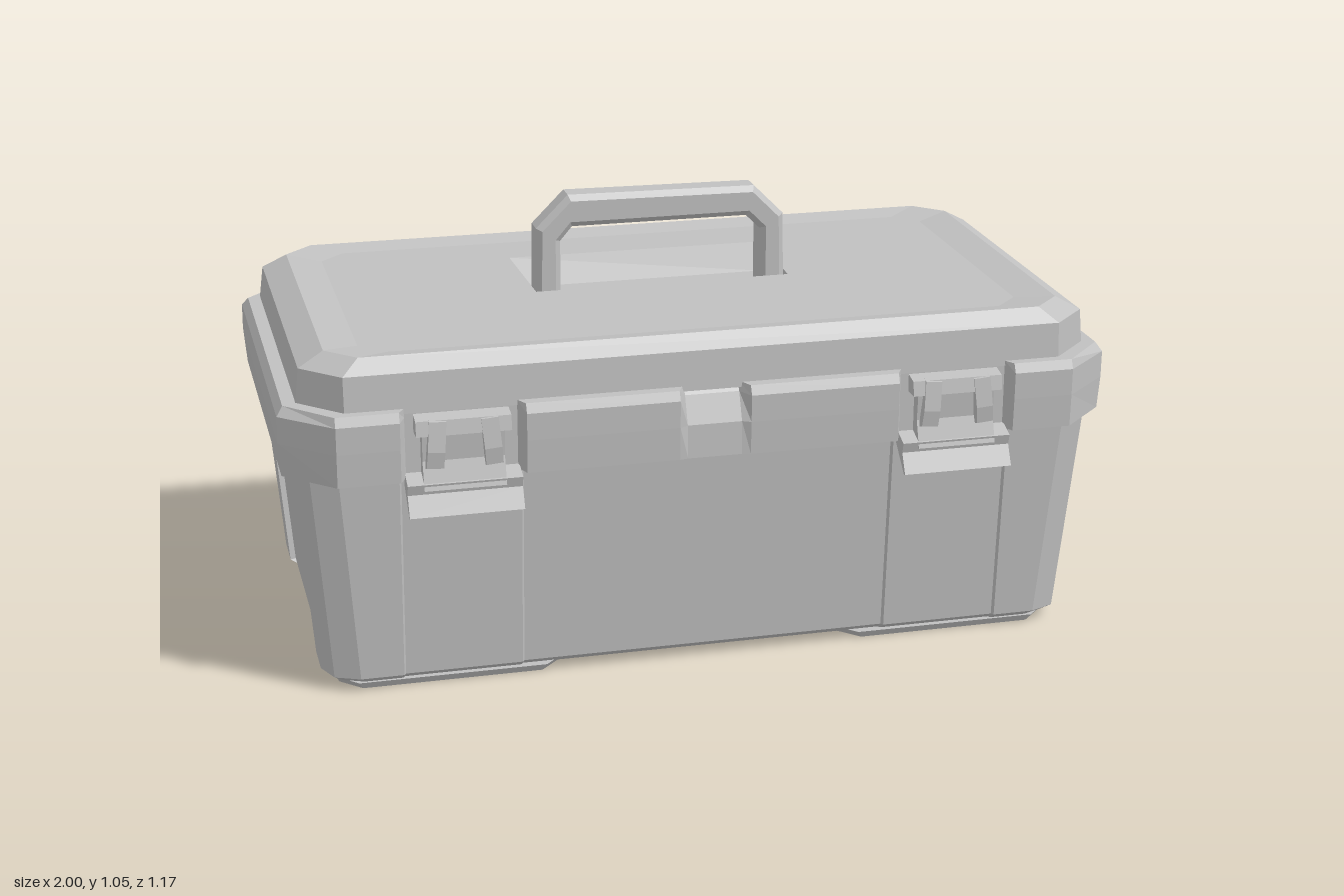
import * as THREE from 'three';

const grey = new THREE.MeshStandardMaterial({ color: 0xc0c0c0 });
grey.name = 'grey plastic';

function add(group, name, geometry) {
  const mesh = new THREE.Mesh(geometry, grey);
  mesh.name = name;
  group.add(mesh);
  return mesh;
}

// Closed outline from its +x half, listed from the back to the front
const mirrorRing = (half) => [...half, ...half.slice().reverse().map(([x, z]) => [-x, z])];

// Rectangle with cut corners
const cutRect = (hx, zb, zf, c) => mirrorRing([[hx - c, zb], [hx, zb + c], [hx, zf - c], [hx - c, zf]]);

// Faceted skin through levels of { y, ring }, with optional caps and a hole in the top cap
function loft(levels, { bottom = true, top = true, hole = [] } = {}) {
  const pos = [];
  const tri = (...points) => points.forEach((p) => pos.push(...p));
  for (let l = 0; l + 1 < levels.length; l++) {
    const lo = levels[l], hi = levels[l + 1], n = lo.ring.length;
    for (let i = 0; i < n; i++) {
      const j = (i + 1) % n;
      const at = (level, k) => [level.ring[k][0], level.y, level.ring[k][1]];
      tri(at(lo, i), at(hi, i), at(hi, j));
      tri(at(lo, i), at(hi, j), at(lo, j));
    }
  }
  const cap = (level, up, holeRing) => {
    const outer = level.ring.map((p) => new THREE.Vector2(...p));
    const inner = holeRing.map((p) => new THREE.Vector2(...p));
    const all = [...outer, ...inner];
    for (const face of THREE.ShapeUtils.triangulateShape(outer, inner.length ? [inner] : [])) {
      const [p, q, r] = face.map((k) => all[k]);
      const facesUp = (q.y - p.y) * (r.x - p.x) - (q.x - p.x) * (r.y - p.y) > 0;
      const order = facesUp === up ? [p, q, r] : [p, r, q];
      tri(...order.map((v) => [v.x, level.y, v.y]));
    }
  };
  if (bottom) cap(levels[0], false, []);
  if (top) cap(levels[levels.length - 1], true, hole);
  const geometry = new THREE.BufferGeometry();
  geometry.setAttribute('position', new THREE.Float32BufferAttribute(pos, 3));
  geometry.computeVertexNormals();
  return geometry;
}

// Side profile of (z, y) points pulled along x
function extrudeX(profile, x0, x1) {
  const shape = new THREE.Shape(profile.map((p) => new THREE.Vector2(...p)));
  const geometry = new THREE.ExtrudeGeometry(shape, { depth: x1 - x0, bevelEnabled: false });
  return geometry.rotateY(-Math.PI / 2).translate(x1, 0, 0);
}

// Tub outline: proud corner posts, sunken panels and two grooves in the back
function bodyRing(hx, zb, zf, c, groove) {
  const d = 0.014;
  return mirrorRing([
    [0.33, zb], [0.35, zb + groove], [0.43, zb + groove], [0.45, zb],
    [0.73, zb], [0.74, zb - 0.006],
    [hx - c, zb], [hx - c * 0.3, zb + c * 0.3], [hx, zb + c],
    [hx, -0.27], [hx - d, -0.275], [hx - d, 0.3], [hx, 0.31],
    [hx, zf - c], [hx - c * 0.3, zf - c * 0.3], [hx - c, zf],
    [0.735, zf], [0.73, zf - 0.007], [0.45, zf - 0.007], [0.445, zf - d],
  ]);
}

// Rim outline: cut-outs for the latches and a middle notch
function lipRing(hx, zb, zf, notch) {
  return mirrorRing([
    [0.88, zb], [hx, zb + 0.11], [hx, zf - 0.11], [0.88, zf],
    [0.735, zf], [0.72, 0.525], [0.46, 0.525], [0.445, zf + 0.004],
    [0.085, zf + 0.004], [0.065, notch],
  ]);
}

function createLatch() {
  const latch = new THREE.Group();
  const hook = [[0.515, 0.56], [0.57, 0.58], [0.575, 0.62], [0.565, 0.69], [0.515, 0.7]];
  for (const s of [-1, 1]) {
    const arm = add(latch, 'latchArm', extrudeX(hook, -0.02, 0.02));
    arm.position.x = s * 0.115;
    arm.rotation.z = s * 0.08;
  }
  add(latch, 'latchTop', extrudeX([[0.515, 0.655], [0.567, 0.655], [0.56, 0.69], [0.515, 0.7]], -0.11, 0.11));
  add(latch, 'latchPlate', extrudeX([[0.515, 0.52], [0.572, 0.525], [0.55, 0.59], [0.555, 0.655], [0.515, 0.655]], -0.095, 0.095));
  add(latch, 'latchFlap', extrudeX([[0.515, 0.525], [0.58, 0.465], [0.588, 0.468], [0.563, 0.515], [0.57, 0.54], [0.515, 0.56]], -0.133, 0.133));
  return latch;
}

function createHandle() {
  const shape = new THREE.Shape([
    [-0.32, 0.745], [-0.255, 0.745], [-0.255, 0.935], [-0.225, 0.97], [0.215, 0.97], [0.25, 0.935],
    [0.25, 0.745], [0.315, 0.745], [0.31, 0.97], [0.235, 1.045], [-0.235, 1.05], [-0.315, 0.97],
  ].map((p) => new THREE.Vector2(...p)));
  const bevel = 0.014;
  return new THREE.ExtrudeGeometry(shape, {
    depth: 0.08 - 2 * bevel, bevelSize: bevel, bevelThickness: bevel, bevelOffset: -bevel, bevelSegments: 1,
  }).translate(0, 0, -0.04 + bevel);
}

export function createModel() {
  const box = new THREE.Group();
  box.name = 'toolbox';

  // Tapered tub standing on two shallow feet
  add(box, 'body', loft([
    { y: 0.016, ring: bodyRing(0.895, -0.435, 0.465, 0.07, 0.035) },
    { y: 0.035, ring: bodyRing(0.922, -0.462, 0.49, 0.085, 0.035) },
    { y: 0.56, ring: bodyRing(0.965, -0.505, 0.526, 0.09, 0.008) },
  ]));
  for (const s of [-1, 1]) {
    const foot = loft([
      { y: 0, ring: cutRect(0.265, -0.435, 0.465, 0.05) },
      { y: 0.018, ring: cutRect(0.275, -0.445, 0.475, 0.05) },
    ]);
    add(box, 'foot', foot).position.x = s * 0.615;
  }

  // Overhanging rim
  add(box, 'rim', loft([
    { y: 0.545, ring: lipRing(0.995, -0.508, 0.557, 0.557) },
    { y: 0.625, ring: lipRing(1, -0.545, 0.56, 0.553) },
    { y: 0.69, ring: lipRing(1, -0.535, 0.561, 0.525) },
    { y: 0.712, ring: lipRing(0.985, -0.515, 0.55, 0.51) },
  ]));

  // Lid with a raised edge and an open pocket for the handle
  const pocket = [[-0.33, -0.26], [-0.32, 0.045], [0.32, 0.045], [0.335, -0.255]];
  const pocketFloor = [[-0.325, -0.225], [-0.32, 0.04], [0.32, 0.04], [0.325, -0.225]];
  add(box, 'lid', loft([
    { y: 0.7, ring: cutRect(0.955, -0.518, 0.527, 0.1) },
    { y: 0.795, ring: cutRect(0.945, -0.487, 0.52, 0.09) },
    { y: 0.828, ring: cutRect(0.885, -0.45, 0.485, 0.07) },
    { y: 0.815, ring: cutRect(0.8, -0.4, 0.42, 0.06) },
  ], { bottom: false, hole: pocket }));
  add(box, 'handlePocket', loft([
    { y: 0.745, ring: pocketFloor }, { y: 0.815, ring: pocket },
  ], { bottom: false, top: false }));
  add(box, 'pocketFloor', loft([{ y: 0.745, ring: pocketFloor }], { bottom: false }));
  add(box, 'handle', createHandle());

  // Latches in front, hinge covers behind
  for (const s of [-1, 1]) {
    const latch = createLatch();
    latch.name = 'latch';
    latch.position.x = s * 0.59;
    box.add(latch);
    const hinge = extrudeX([[-0.5, 0.58], [-0.5, 0.71], [-0.53, 0.7], [-0.553, 0.655], [-0.582, 0.628], [-0.545, 0.605]], -0.25, 0.25);
    add(box, 'hingeCover', hinge).position.x = s * 0.5;
  }
  return box;
}
